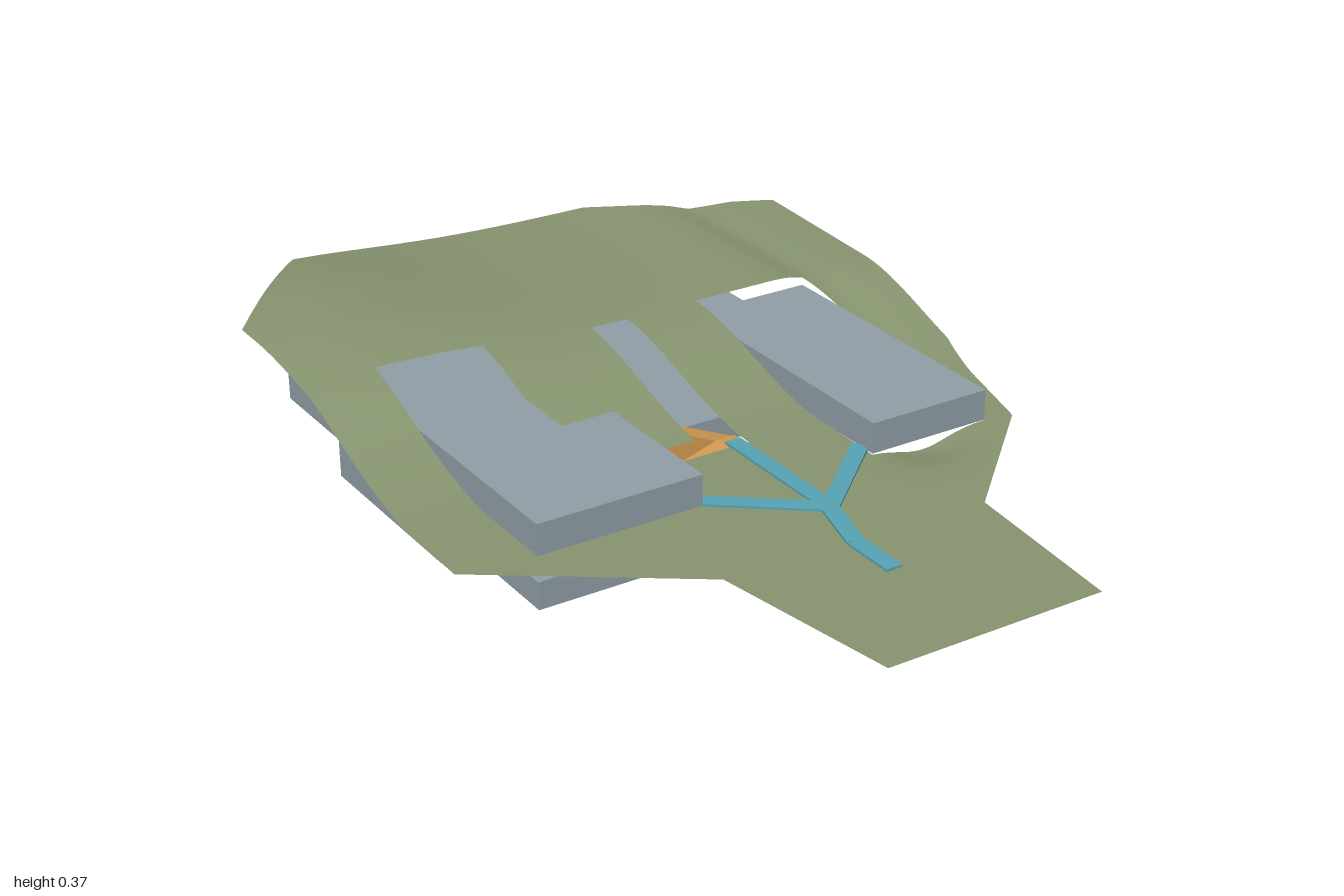
import * as THREE from 'three';

const mat = (name, color, side = THREE.FrontSide) => {
  const m = new THREE.MeshStandardMaterial({ color, side });
  m.name = name;
  return m;
};

const smooth = t => { t = Math.min(1, Math.max(0, t)); return t * t * (3 - 2 * t); };
const gauss = (d, s) => Math.exp(-0.5 * (d / s) ** 2);

// piecewise linear lookup through [z, x] pairs
const lookup = (pts, z) => {
  let i = 0;
  while (i < pts.length - 2 && z > pts[i + 1][0]) i++;
  const [a, b] = [pts[i], pts[i + 1]];
  return a[1] + (b[1] - a[1]) * (z - a[0]) / (b[0] - a[0]);
};

// subdivide between fixed breakpoints
const subdivide = (breaks, step) => {
  const out = [breaks[0]];
  for (let i = 1; i < breaks.length; i++) {
    const a = breaks[i - 1], b = breaks[i], n = Math.max(1, Math.ceil((b - a) / step));
    for (let k = 1; k <= n; k++) out.push(a + (b - a) * k / n);
  }
  return out;
};

// site outline: left and right edge for every z
const LEFT = [[-1, -0.465], [-0.67, -0.737], [0.28, -0.737], [0.575, -0.32], [1, -0.25]];
const RIGHT = [[-1, 0.31], [-0.79, 0.73], [-0.035, 0.69], [0.32, 0.59], [0.6, 0.29], [1, 0.25]];

// openings [x0, x1, z0, z1] for the pavilions and the ramps
const HOLES = [
  [-0.57, -0.315, -0.37, -0.035], [-0.57, -0.19, -0.035, 0.305],
  [0.23, 0.525, -0.37, 0.305], [-0.05, 0.045, -0.36, 0.12], [-0.19, -0.05, 0.06, 0.12],
];

// flat forecourt rising to a plateau, with a hill, a gully and a hollow
function groundHeight(x, z) {
  const rise = smooth((0.12 - z) / 0.5);
  const fall = z < -0.7 ? 0.025 * ((-0.7 - z) / 0.3) ** 2 : 0;
  const hill = (0.065 * smooth((-0.1 - z) / 0.5) - fall) * gauss(x + 0.55, 0.27);
  const gully = 0.015 * rise * gauss(x - 0.55, 0.035);
  const hollow = 0.026 * gauss(x - 0.36, 0.06) * gauss(z - 0.31, 0.055);
  return 0.21 + 0.1 * rise + hill - gully - hollow;
}

function terrainGeometry() {
  const rows = subdivide([-1, -0.79, -0.67, -0.37, -0.36, -0.035, 0.06, 0.12, 0.28, 0.305, 0.32, 0.575, 0.6, 1], 0.025);
  const inner = [-0.57, -0.315, -0.19, -0.05, 0.045, 0.23, 0.525];
  const counts = [6, 9, 5, 6, 4, 8, 12, 8];
  const pos = [], index = [];
  let cols = 0;
  for (const z of rows) {
    // columns follow the openings, and fan with the outline beyond them
    const zc = Math.min(0.305, Math.max(-0.37, z));
    const l0 = lookup(LEFT, zc), r0 = lookup(RIGHT, zc), l = lookup(LEFT, z), r = lookup(RIGHT, z);
    const b = [l0, ...inner, r0], xs = [l0];
    counts.forEach((n, i) => {
      for (let k = 1; k <= n; k++) xs.push(b[i] + (b[i + 1] - b[i]) * k / n);
    });
    cols = xs.length;
    for (const x0 of xs) {
      const x = l + (x0 - l0) / (r0 - l0) * (r - l);
      pos.push(x, groundHeight(x, z), z);
    }
  }
  for (let j = 0; j < rows.length - 1; j++) {
    for (let i = 0; i < cols - 1; i++) {
      const a = j * cols + i, c = a + cols;
      const mx = (pos[a * 3] + pos[a * 3 + 3] + pos[c * 3] + pos[c * 3 + 3]) / 4;
      const mz = (rows[j] + rows[j + 1]) / 2;
      if (HOLES.some(h => mx > h[0] && mx < h[1] && mz > h[2] && mz < h[3])) continue;
      index.push(a, c, a + 1, a + 1, c, c + 1);
    }
  }
  const g = new THREE.BufferGeometry();
  g.setAttribute('position', new THREE.Float32BufferAttribute(pos, 3));
  g.setIndex(index);
  g.computeVertexNormals();
  return g;
}

// upright prism over a plan of [x, z] points
function slab(plan, y0, y1) {
  const shape = new THREE.Shape(plan.map(([x, z]) => new THREE.Vector2(x, -z)));
  return new THREE.ExtrudeGeometry(shape, { depth: y1 - y0, bevelEnabled: false })
    .rotateX(-Math.PI / 2).translate(0, y0, 0);
}
const rect = (x0, x1, z0, z1) => [[x0, z0], [x1, z0], [x1, z1], [x0, z1]];

// solid wedge running from plan point a to b
function ramp(a, b, width, base, yA, yB) {
  const dx = b[0] - a[0], dz = b[1] - a[1], len = Math.hypot(dx, dz);
  const side = new THREE.Shape([[0, base], [len, base], [len, yB], [0, yA]].map(p => new THREE.Vector2(...p)));
  return new THREE.ExtrudeGeometry(side, { depth: width, bevelEnabled: false })
    .translate(0, 0, -width / 2).rotateY(-Math.atan2(dz, dx)).translate(a[0], 0, a[1]);
}

export function createModel() {
  const group = new THREE.Group();
  const grass = mat('grass', 0x87946f, THREE.DoubleSide);
  const concrete = mat('concrete', 0x919fa7);
  const timber = mat('timber', 0xcf9850);
  const water = mat('pathBlue', 0x56a3b5);
  const add = (name, geometry, material) => {
    const m = new THREE.Mesh(geometry, material);
    m.name = name;
    group.add(m);
  };

  add('terrain', terrainGeometry(), grass);

  // upper pavilions
  add('leftPavilion', slab([[-0.57, -0.37], [-0.315, -0.37], [-0.315, -0.035], [-0.19, -0.035],
    [-0.19, 0.305], [-0.57, 0.305]], 0.21, 0.28), concrete);
  add('rightPavilion', slab(rect(0.23, 0.525, -0.37, 0.305), 0.21, 0.28), concrete);

  // middle floor, slotted for the long ramp
  add('middleFloor', slab([[-0.57, -0.83], [0.525, -0.83], [0.525, -0.11], [0.018, -0.11], [-0.006, -0.358],
    [-0.048, -0.358], [-0.024, -0.11], [-0.19, -0.11], [-0.19, 0.305], [-0.57, 0.305]], 0.09, 0.152), concrete);

  // lowest floor, slotted for its ramp
  add('lowerFloor', slab([[-0.57, -0.58], [-0.19, -0.58], [-0.19, -0.11], [-0.365, -0.11], [-0.365, -0.42],
    [-0.393, -0.42], [-0.393, -0.11], [-0.57, -0.11]], 0, 0.09), concrete);

  // ramps between the levels
  add('longRamp', ramp([0.017, 0.08], [-0.027, -0.357], 0.042, 0.09, 0.208, 0.095), timber);
  add('sideRamp', ramp([0, 0.093], [-0.19, 0.093], 0.042, 0.09, 0.208, 0.152), timber);
  add('rampLanding', slab(rect(0, 0.04, 0.072, 0.114), 0.09, 0.208), timber);
  add('lowerRamp', ramp([-0.379, 0.1], [-0.379, -0.42], 0.028, 0, 0.089, 0.004), timber);

  // footpaths: plan polylines drawn as thin strips
  const paths = [
    [[0.018, 0.1], [0.018, 0.44], [-0.025, 0.595], [-0.025, 0.72]],
    [[0.018, 0.45], [-0.19, 0.285]],
    [[0.018, 0.45], [0.23, 0.262]],
  ];
  for (const path of paths) {
    for (let i = 1; i < path.length; i++) {
      add('footpath', ramp(path[i - 1], path[i], 0.038, 0.209, 0.215, 0.215), water);
    }
  }
  return group;
}
